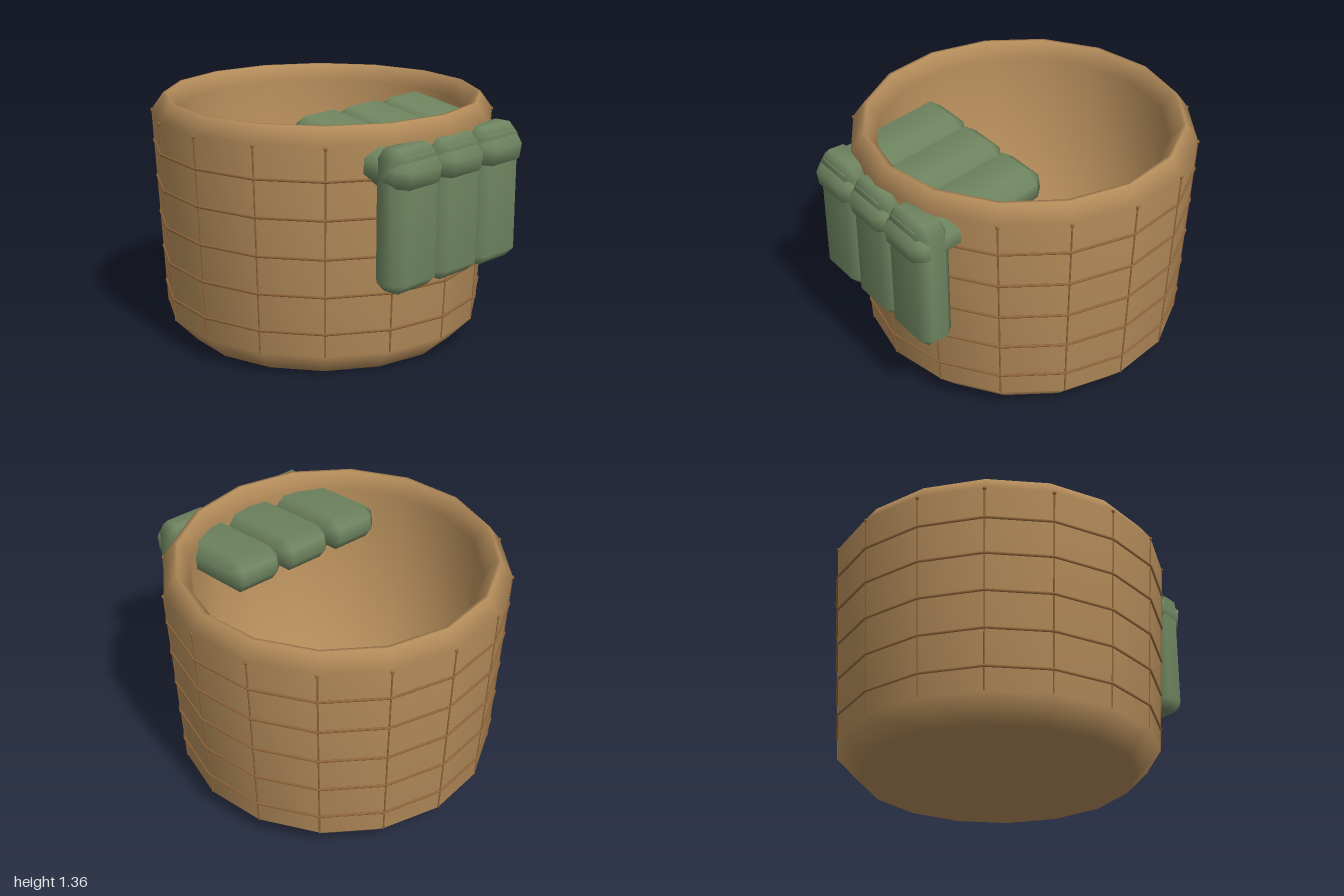
import * as THREE from 'three';
import { ConvexGeometry } from 'three/addons/geometries/ConvexGeometry.js';
import { mergeVertices } from 'three/addons/utils/BufferGeometryUtils.js';

const SIDES = 16;
const CENTER_Z = -0.05;
const wallRadius = (y) => 0.89 + 0.06 * (y - 0.13) / 1.14;

// Box with every edge and corner cut, shaded smooth
function cutBox(w, h, d, c) {
  const [x, y, z] = [w / 2, h / 2, d / 2];
  const pts = [];
  for (const sx of [-1, 1]) for (const sy of [-1, 1]) for (const sz of [-1, 1]) {
    pts.push(
      new THREE.Vector3(sx * x, sy * (y - c), sz * (z - c)),
      new THREE.Vector3(sx * (x - c), sy * y, sz * (z - c)),
      new THREE.Vector3(sx * (x - c), sy * (y - c), sz * z));
  }
  let geo = new ConvexGeometry(pts);
  geo.deleteAttribute('normal');
  geo = mergeVertices(geo, 1e-4);
  geo.computeVertexNormals();
  return geo;
}

export function createModel() {
  const model = new THREE.Group();
  model.name = 'basketWithPouches';
  const wicker = new THREE.MeshStandardMaterial({ color: 0xb48c5a });
  const cord = new THREE.MeshStandardMaterial({ color: 0x93683c });
  const cloth = new THREE.MeshStandardMaterial({ color: 0x6f8560 });

  const add = (parent, name, geo, mat) => {
    const mesh = new THREE.Mesh(geo, mat);
    mesh.name = name;
    parent.add(mesh);
    return mesh;
  };

  const basket = new THREE.Group();
  basket.name = 'basket';
  basket.position.z = CENTER_Z;
  model.add(basket);

  // Hollow body: base, outer wall, rim, inner wall, floor
  const profile = [
    [0, 0], [0.765, 0], [0.89, 0.13], [0.95, 1.27], [0.885, 1.36],
    [0.865, 1.36], [0.8, 1.27], [0.75, 0.14], [0, 0.12],
  ].map(([r, y]) => new THREE.Vector2(r, y));
  add(basket, 'basketBody', new THREE.LatheGeometry(profile, SIDES), wicker);

  // Horizontal bands
  for (const y of [0.26, 0.467, 0.675, 0.885, 1.09]) {
    const ring = add(basket, 'horizontalBand',
      new THREE.TorusGeometry(wallRadius(y) + 0.004, 0.008, 5, SIDES), cord);
    ring.rotation.x = Math.PI / 2;
    ring.position.y = y;
  }

  // Upright cords along the corners, each with a small knot on top
  for (let i = 0; i < SIDES; i++) {
    const a = (i / SIDES) * Math.PI * 2;
    const at = (y) => new THREE.Vector3(
      Math.sin(a) * wallRadius(y), y, Math.cos(a) * wallRadius(y));
    const path = new THREE.LineCurve3(at(0.13), at(1.25));
    add(basket, 'uprightCord', new THREE.TubeGeometry(path, 1, 0.005, 5), cord);
    const knot = add(basket, 'cordKnot', new THREE.SphereGeometry(0.011, 8, 6), cord);
    knot.position.copy(at(1.26));
  }

  // Three upright pouches outside, three more sloping inward over the wall
  const uprightGeo = cutBox(0.34, 0.755, 0.2, 0.055);
  const slopedGeo = cutBox(0.34, 0.2, 0.82, 0.06);
  for (const x of [-0.335, 0, 0.335]) {
    const upright = add(model, 'outerPouch', uprightGeo, cloth);
    upright.position.set(x, 0.89, 0.867);
    const sloped = add(model, 'innerPouch', slopedGeo, cloth);
    sloped.position.set(x, 1.185, 0.59);
    sloped.rotation.x = THREE.MathUtils.degToRad(9);
  }

  return model;
}
